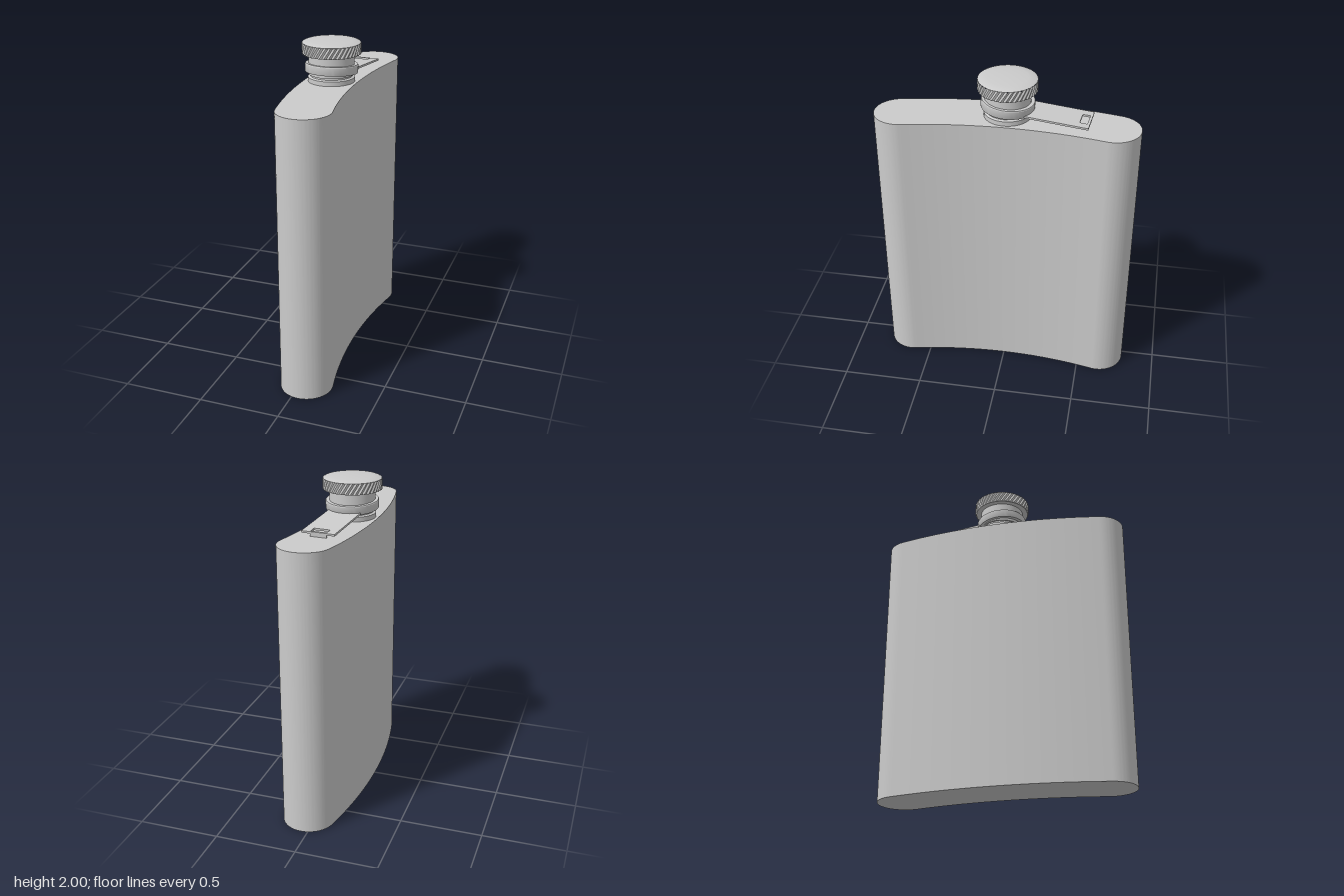
import * as THREE from 'three';
import { toCreasedNormals } from 'three/addons/utils/BufferGeometryUtils.js';

const NECK_X = -0.025;
const grey = new THREE.MeshStandardMaterial({ color: 0xcccccc });
const facetedGrey = new THREE.MeshStandardMaterial({ color: 0xcccccc, flatShading: true });

function part(name, geometry, parent, material = grey) {
  const mesh = new THREE.Mesh(geometry, material);
  mesh.name = name;
  parent.add(mesh);
  return mesh;
}

// Extrudes a plan outline upwards (shape y points to the back)
function extrudeUp(shape, height) {
  const geo = new THREE.ExtrudeGeometry(shape, { depth: height, bevelEnabled: false, curveSegments: 32 });
  return toCreasedNormals(geo.rotateX(-Math.PI / 2), 0.5);
}

function lathe(points) {
  const profile = points.map(([r, y]) => new THREE.Vector2(r, y));
  return toCreasedNormals(new THREE.LatheGeometry(profile, 64), 0.5);
}

// Kidney-shaped plan: a slot of constant width bent along an arc
function bodyShape() {
  const R = 3.04, half = 0.16, a = 0.21, PI = Math.PI, cx = NECK_X + R;
  const ex = cx - R * Math.cos(a), ey = R * Math.sin(a);
  const shape = new THREE.Shape();
  shape.absarc(cx, 0, R + half, PI - a, PI + a, false);
  shape.absarc(ex, -ey, half, PI + a, 2 * PI + a, false);
  shape.absarc(cx, 0, R - half, PI + a, PI - a, true);
  shape.absarc(ex, ey, half, -a, PI - a, false);
  return shape;
}

// Band of diagonal ridges: alternate columns swap between crest and groove row by row
function knurlGeometry(radius, depth, height) {
  const geo = new THREE.CylinderGeometry(radius, radius, height, 80, 3, true);
  const pos = geo.attributes.position;
  for (let i = 0; i < pos.count; i++) {
    const column = i % 81, row = Math.floor(i / 81);
    if ((column + row) % 2) {
      const k = (radius - depth) / radius;
      pos.setXYZ(i, pos.getX(i) * k, pos.getY(i), pos.getZ(i) * k);
    }
  }
  return geo;
}

export function createModel() {
  const model = new THREE.Group();
  model.name = 'hipFlask';

  part('body', extrudeUp(bodyShape(), 1.75), model);

  // Neck and screw cap
  const neck = new THREE.Group();
  neck.name = 'neckAndCap';
  neck.position.x = NECK_X;
  model.add(neck);

  part('spout', lathe([[0.142, 1.745], [0.142, 1.778], [0.128, 1.784], [0.128, 1.8], [0.128, 1.87]]), neck);
  part('capSkirt', lathe([[0.1, 1.795], [0.138, 1.795], [0.138, 1.923]]), neck);
  part('capRim', lathe([[0.13, 1.918], [0.171, 1.918], [0.174, 1.924]]), neck);
  part('capKnurl', knurlGeometry(0.178, 0.006, 0.066), neck, facetedGrey).position.y = 1.952;
  part('capTop', lathe([[0.172, 1.983], [0.176, 1.986], [0.165, 1.991], [0.12, 1.996], [0.06, 1.999], [0, 2]]), neck);

  // Tilted retaining ring with its flat strap
  const retainer = new THREE.Group();
  retainer.name = 'capRetainer';
  retainer.position.y = 1.812;
  retainer.rotation.set(-0.075, -0.085, 0, 'YXZ');
  neck.add(retainer);

  part('retainerRing', lathe([[0.136, -0.007], [0.158, -0.007], [0.16, -0.003], [0.16, 0.041], [0.157, 0.046], [0.136, 0.046]]), retainer);

  const strap = new THREE.Shape();
  const w = 0.102, rIn = 0.142, t = Math.acos(w / rIn);
  strap.moveTo(w, 0.5);
  strap.lineTo(-w, 0.5);
  strap.absarc(0, 0, rIn, Math.PI - t, t, true);
  strap.closePath();
  const slot = new THREE.Path();
  slot.moveTo(-0.05, 0.44);
  slot.lineTo(0.05, 0.44);
  slot.lineTo(0.05, 0.485);
  slot.lineTo(-0.05, 0.485);
  slot.closePath();
  strap.holes.push(slot);
  part('strap', extrudeUp(strap, 0.012), retainer).position.y = -0.007;

  // Small tab bent down from the slot
  part('strapTab', new THREE.BoxGeometry(0.1, 0.026, 0.01), retainer).position.set(0, -0.012, -0.49);

  return model;
}
